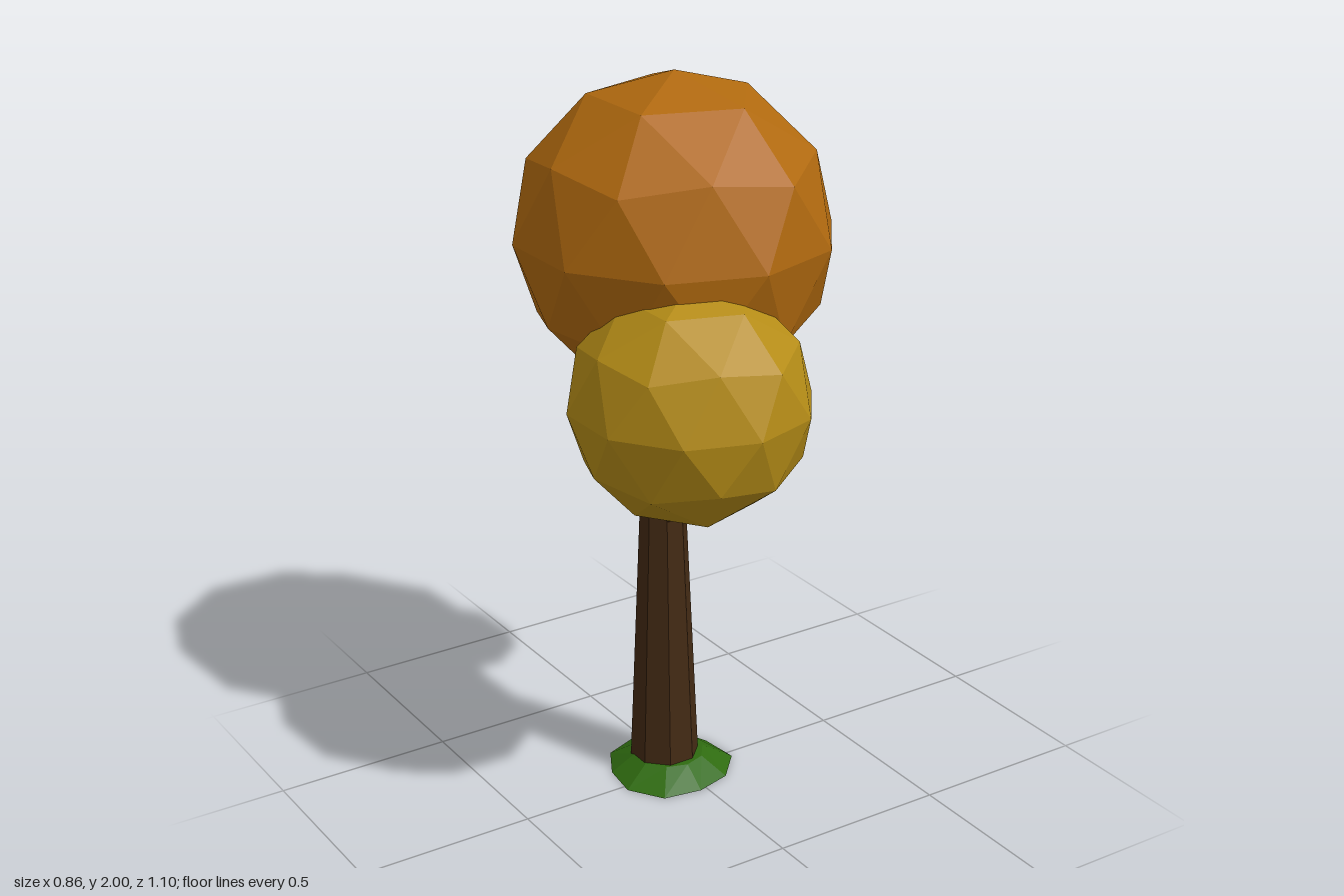
import * as THREE from 'three';

const material = (color) => new THREE.MeshStandardMaterial({ color, flatShading: true });

// Faceted ball of leaves with one corner pointing straight up
function crown(name, color, radius, x, y, z) {
  const geo = new THREE.IcosahedronGeometry(radius, 1);
  geo.rotateX(-Math.atan((1 + Math.sqrt(5)) / 2));
  geo.rotateY(Math.PI / 2);
  const mesh = new THREE.Mesh(geo, material(color));
  mesh.name = name;
  mesh.position.set(x, y, z);
  return mesh;
}

// Tapered limb running through a list of [x, y, z, radius] points
function limb(name, mat, points, sides) {
  const group = new THREE.Group();
  group.name = name;
  for (let i = 0; i < points.length - 1; i++) {
    const a = new THREE.Vector3(...points[i]);
    const b = new THREE.Vector3(...points[i + 1]);
    const dir = b.clone().sub(a);
    const geo = new THREE.CylinderGeometry(points[i + 1][3], points[i][3], dir.length(), sides);
    geo.rotateY(Math.PI / sides);
    const mesh = new THREE.Mesh(geo, mat);
    mesh.name = name + 'Segment';
    mesh.position.copy(a).add(b).multiplyScalar(0.5);
    mesh.quaternion.setFromUnitVectors(new THREE.Vector3(0, 1, 0), dir.normalize());
    group.add(mesh);
  }
  return group;
}

// Low mound of grass with an uneven rim
function grassMound() {
  const geo = new THREE.CylinderGeometry(0.1, 0.18, 0.05, 10);
  const pos = geo.attributes.position;
  for (let i = 0; i < pos.count; i++) {
    const x = pos.getX(i), z = pos.getZ(i);
    if (pos.getY(i) > 0 || Math.hypot(x, z) < 0.01) continue;
    const angle = Math.atan2(z, x);
    const k = 0.98 + 0.06 * Math.sin(3 * angle + 0.6);
    pos.setX(i, x * k);
    pos.setZ(i, z * k);
  }
  const mesh = new THREE.Mesh(geo, material(0x2f6b10));
  mesh.name = 'grassMound';
  mesh.position.set(-0.02, 0.025, -0.035);
  return mesh;
}

export function createModel() {
  const tree = new THREE.Group();
  tree.name = 'tree';
  const bark = material(0x432a14);

  tree.add(grassMound());

  // Trunk and the two side branches
  tree.add(limb('trunk', bark, [
    [-0.027, 0.01, -0.045, 0.098],
    [-0.026, 0.8, -0.051, 0.064],
    [-0.015, 1.25, -0.055, 0.038],
  ], 8));
  tree.add(limb('frontBranch', bark, [
    [-0.03, 0.79, -0.04, 0.028],
    [-0.07, 0.875, 0.15, 0.026],
    [-0.11, 1.0, 0.22, 0.023],
  ], 6));
  tree.add(limb('backBranch', bark, [
    [-0.01, 0.72, -0.05, 0.022],
    [0.04, 0.81, -0.21, 0.02],
    [0.09, 0.92, -0.3, 0.018],
  ], 6));

  // Leaf crowns
  tree.add(crown('topCrown', 0xb0690f, 0.43, 0.018, 1.572, -0.06));
  tree.add(crown('frontCrown', 0xb58c17, 0.322, -0.122, 1.222, 0.232));
  tree.add(crown('backCrown', 0x858a17, 0.212, 0.103, 0.98, -0.338));
  return tree;
}
